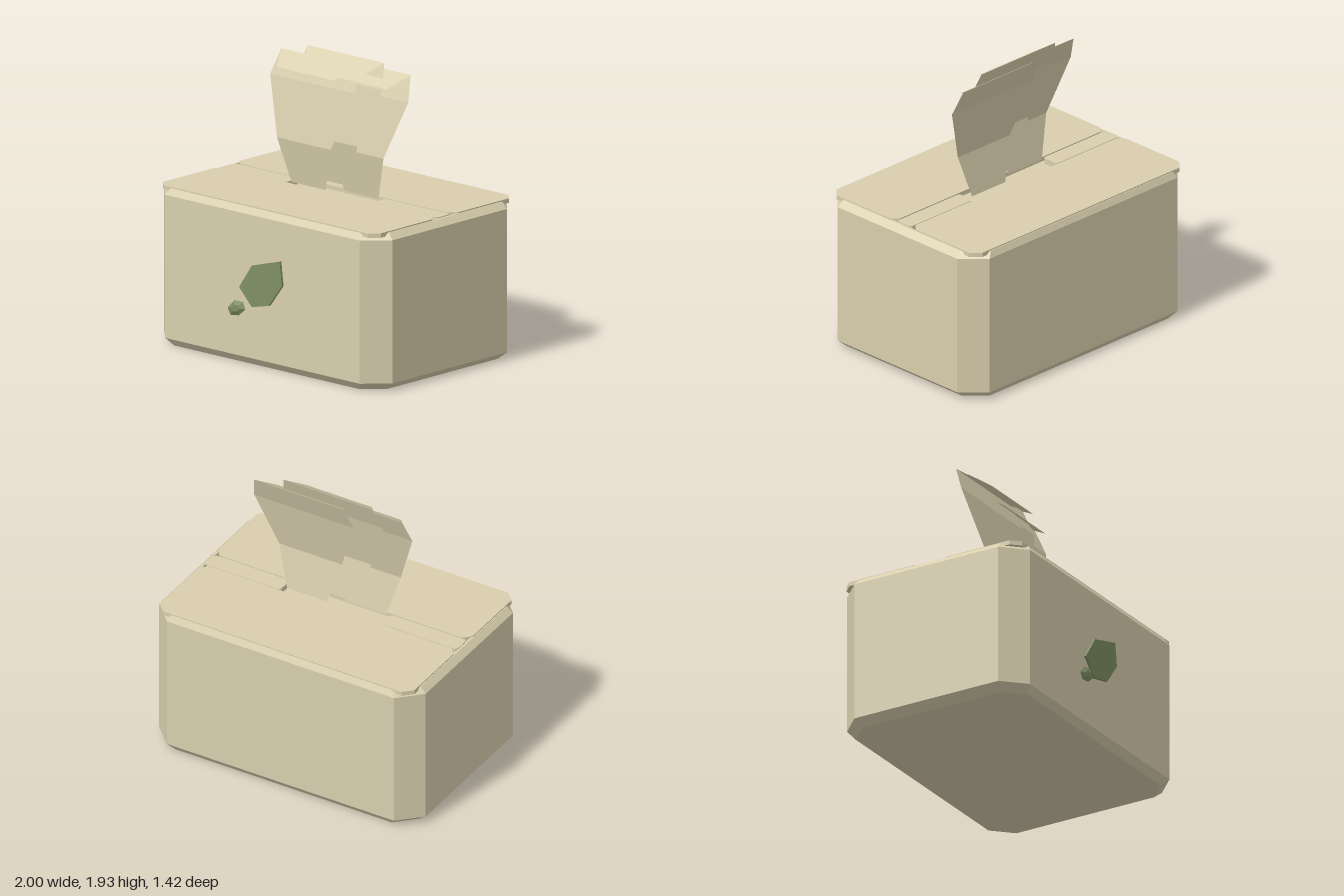
import * as THREE from 'three';

const cream = new THREE.MeshStandardMaterial({ color: 0xd9cfae });
cream.name = 'cream';
cream.flatShading = true;
const paper = new THREE.MeshStandardMaterial({ color: 0xd9cfae, side: THREE.DoubleSide });
paper.name = 'paper cream';
paper.flatShading = true;
const green = new THREE.MeshStandardMaterial({ color: 0x7f8f64 });
green.name = 'leaf green';
green.flatShading = true;

// Flat-faced skin over rings of [x, y, z] points, counter-clockwise seen from the last ring's side
function loft(rings, capped = true) {
  const out = [];
  const tri = (a, b, c) => out.push(...a, ...b, ...c);
  const n = rings[0].length;
  for (let r = 0; r < rings.length - 1; r++) {
    const lo = rings[r], hi = rings[r + 1];
    for (let i = 0; i < n; i++) {
      const j = (i + 1) % n;
      tri(lo[i], lo[j], hi[j]);
      tri(lo[i], hi[j], hi[i]);
    }
  }
  if (capped) {
    const first = rings[0], last = rings[rings.length - 1];
    for (let i = 1; i < n - 1; i++) {
      tri(first[0], first[i + 1], first[i]);
      tri(last[0], last[i], last[i + 1]);
    }
  }
  const g = new THREE.BufferGeometry();
  g.setAttribute('position', new THREE.Float32BufferAttribute(out, 3));
  g.computeVertexNormals();
  return g;
}

// Horizontal octagon: half width, front z, back z, corner cut
function octagon(y, w, front, back, c) {
  return [
    [w, front - c], [w, back + c], [w - c, back], [c - w, back],
    [-w, back + c], [-w, front - c], [c - w, front], [w - c, front],
  ].map(([x, z]) => [x, y, z]);
}

// Horizontal slab from an [x, z] outline
function slab(points, bottom, top) {
  const shape = new THREE.Shape(points.map(([x, z]) => new THREE.Vector2(x, -z)));
  const g = new THREE.ExtrudeGeometry(shape, { depth: top - bottom, bevelEnabled: false });
  g.rotateX(-Math.PI / 2);
  g.translate(0, bottom, 0);
  return g;
}

// One folded sheet: rows of [half width, y, z]
function sheetGeometry() {
  const rows = [
    [0.15, 1.05, 0.02], [0.235, 1.34, 0.065], [0.373, 1.72, -0.02],
    [0.335, 1.885, -0.083], [0.25, 1.80, 0.05],
  ];
  const out = [];
  for (let i = 0; i < rows.length - 1; i++) {
    const [w0, y0, z0] = rows[i], [w1, y1, z1] = rows[i + 1];
    out.push(-w0, y0, z0, w0, y0, z0, w1, y1, z1, -w0, y0, z0, w1, y1, z1, -w1, y1, z1);
  }
  const g = new THREE.BufferGeometry();
  g.setAttribute('position', new THREE.Float32BufferAttribute(out, 3));
  g.computeVertexNormals();
  return g;
}

export function createModel() {
  const model = new THREE.Group();
  model.name = 'tissueBox';
  const add = (name, geometry, material) => {
    const mesh = new THREE.Mesh(geometry, material);
    mesh.name = name;
    model.add(mesh);
    return mesh;
  };

  // Bevelled body with a shallow recess under the lid
  add('boxBody', loft([
    octagon(0, 0.94, 0.63, -0.67, 0.13),
    octagon(0.05, 1, 0.67, -0.71, 0.148),
    octagon(1, 1, 0.67, -0.71, 0.148),
    octagon(1.042, 0.96, 0.645, -0.692, 0.135),
    octagon(1.042, 0.945, 0.625, -0.675, 0.13),
    octagon(1.0, 0.945, 0.625, -0.675, 0.13),
  ]), cream);

  // Two lid panels, notched at both ends of the slot
  const panel = (slot, edge, s) => {
    const half = [[0.91, slot], [0.955, slot + 0.05 * s], [0.955, edge - 0.06 * s], [0.895, edge]];
    return [...half, ...half.map(([x, z]) => [-x, z]).reverse()];
  };
  add('frontLidPanel', slab(panel(0.047, 0.64, 1), 1.02, 1.05), cream);
  add('backLidPanel', slab(panel(-0.093, -0.687, -1), 1.02, 1.05), cream);

  // Slot covers on each side of the opening
  const c = 0.015;
  for (const side of [1, -1]) {
    const [x0, x1, z0, z1] = [0.38, 0.945, -0.085, 0.039];
    const outline = [
      [x0 + c, z0], [x1 - c, z0], [x1, z0 + c], [x1, z1 - c],
      [x1 - c, z1], [x0 + c, z1], [x0, z1 - c], [x0, z0 + c],
    ].map(([x, z]) => [x * side, z]);
    add(side > 0 ? 'leftSlotCover' : 'rightSlotCover', slab(outline, 1.01, 1.048), cream);
  }

  // Three overlapping folded tissues
  const sheet = sheetGeometry();
  add('frontTissue', sheet, paper).position.set(-0.2, 0, 0);
  add('middleTissue', sheet, paper).position.set(0, 0.05, -0.035);
  add('backTissue', sheet, paper).position.set(0.2, 0, -0.068);

  // Large flat leaf on the front
  const leaf = [[-0.19, 0.51], [-0.08, 0.395], [0.07, 0.43], [0.185, 0.58], [0.165, 0.74], [-0.08, 0.67]];
  add('largeLeaf', loft([0.669, 0.686].map((z) => leaf.map(([x, y]) => [x, y, z]))), green);

  // Small faceted leaf bud
  const bud = [[-0.28, 0.36], [-0.255, 0.315], [-0.18, 0.325], [-0.125, 0.375], [-0.145, 0.42], [-0.22, 0.42]];
  const budRing = (z, s) => bud.map(([x, y]) => [-0.2 + (x + 0.2) * s, 0.37 + (y - 0.37) * s, z]);
  add('smallLeaf', loft([budRing(0.684, 0.45), budRing(0.697, 1), budRing(0.712, 0.45)]), green);

  return model;
}
